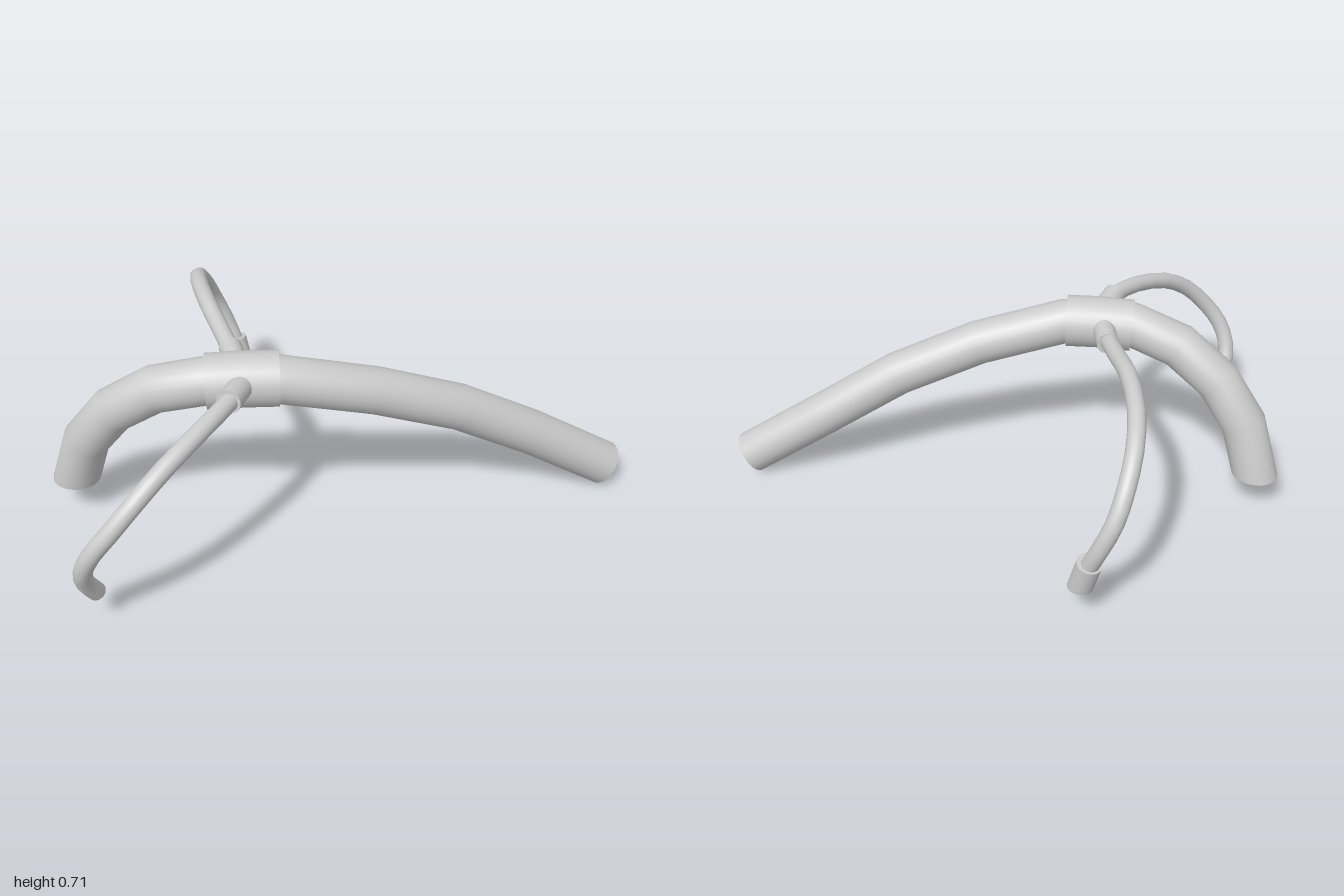
import * as THREE from 'three';
import { mergeGeometries } from 'three/addons/utils/BufferGeometryUtils.js';

const material = new THREE.MeshStandardMaterial({ color: 0xcccccc, side: THREE.DoubleSide });

// Solid round bar swept along points, closed at both ends.
// levelStart / levelEnd cut that end horizontally.
function sweep(name, coords, radius, { steps = 1, levelStart = false, levelEnd = false } = {}) {
  const radial = 24;
  const curve = new THREE.CatmullRomCurve3(coords.map(c => new THREE.Vector3(...c)));
  // place rings at the given points rather than at equal lengths
  curve.getPointAt = (t, v) => curve.getPoint(t, v);
  curve.getTangentAt = (t, v) => curve.getTangent(t, v);
  const segments = (coords.length - 1) * steps;
  const tube = new THREE.TubeGeometry(curve, segments, radius, radial);
  const pos = tube.attributes.position;
  const caps = [];

  for (const end of [0, 1]) {
    const first = end * segments * (radial + 1);
    const centre = curve.getPoint(end);
    const tangent = curve.getTangent(end);
    const ring = [];
    for (let j = 0; j <= radial; j++) {
      const p = new THREE.Vector3().fromBufferAttribute(pos, first + j);
      if (end ? levelEnd : levelStart) {
        p.addScaledVector(tangent, (centre.y - p.y) / tangent.y);
        pos.setXYZ(first + j, p.x, p.y, p.z);
      }
      ring.push(p);
    }
    // fan cap facing outwards
    const fan = [];
    for (let j = 0; j < radial; j++) {
      fan.push(centre, ring[end ? j + 1 : j], ring[end ? j : j + 1]);
    }
    const cap = new THREE.BufferGeometry().setFromPoints(fan);
    cap.computeVertexNormals();
    caps.push(cap);
  }

  const body = tube.toNonIndexed();
  body.deleteAttribute('uv');
  const mesh = new THREE.Mesh(mergeGeometries([body, ...caps]), material);
  mesh.name = name;
  return mesh;
}

export function createModel() {
  const model = new THREE.Group();
  model.name = 'branchedPipe';

  // thick main pipe: short steep leg, long sloping arm
  model.add(sweep('mainPipe', [
    [-0.91, 0.14, -0.05], [-0.86, 0.33, 0], [-0.765, 0.475, 0.065], [-0.63, 0.58, 0.14],
    [-0.47, 0.63, 0.212], [-0.35, 0.637, 0.238], [-0.23, 0.625, 0.262], [0.08, 0.54, 0.277],
    [0.38, 0.42, 0.275], [0.66, 0.26, 0.268], [0.955, 0.08, 0.287],
  ], 0.08, { levelStart: true }));

  // sleeve where the side hoses join
  model.add(sweep('collar', [
    [-0.47, 0.627, 0.212], [-0.355, 0.632, 0.236], [-0.24, 0.63, 0.258],
  ], 0.092));

  // front hose with its socket
  model.add(sweep('frontSocket', [[-0.36, 0.645, 0.28], [-0.43, 0.657, 0.39]], 0.04));
  model.add(sweep('frontHose', [
    [-0.39, 0.655, 0.33], [-0.43, 0.655, 0.39], [-0.53, 0.64, 0.49], [-0.66, 0.595, 0.59],
    [-0.76, 0.53, 0.645], [-0.85, 0.44, 0.663], [-0.91, 0.36, 0.65], [-0.938, 0.28, 0.622],
    [-0.935, 0.21, 0.59], [-0.905, 0.135, 0.555],
  ], 0.03, { steps: 2 }));

  // back hose with its socket and end ferrule
  model.add(sweep('backSocket', [[-0.36, 0.645, 0.2], [-0.36, 0.648, 0.06]], 0.039));
  model.add(sweep('backHose', [
    [-0.36, 0.65, 0.1], [-0.375, 0.667, -0.05], [-0.39, 0.686, -0.2], [-0.387, 0.67, -0.39],
    [-0.362, 0.615, -0.525], [-0.325, 0.53, -0.615], [-0.29, 0.44, -0.658],
    [-0.25, 0.34, -0.658], [-0.215, 0.23, -0.63],
  ], 0.03, { steps: 2 }));
  model.add(sweep('backFerrule', [[-0.222, 0.262, -0.635], [-0.2, 0.145, -0.612]], 0.043, { levelEnd: true }));

  return model;
}
